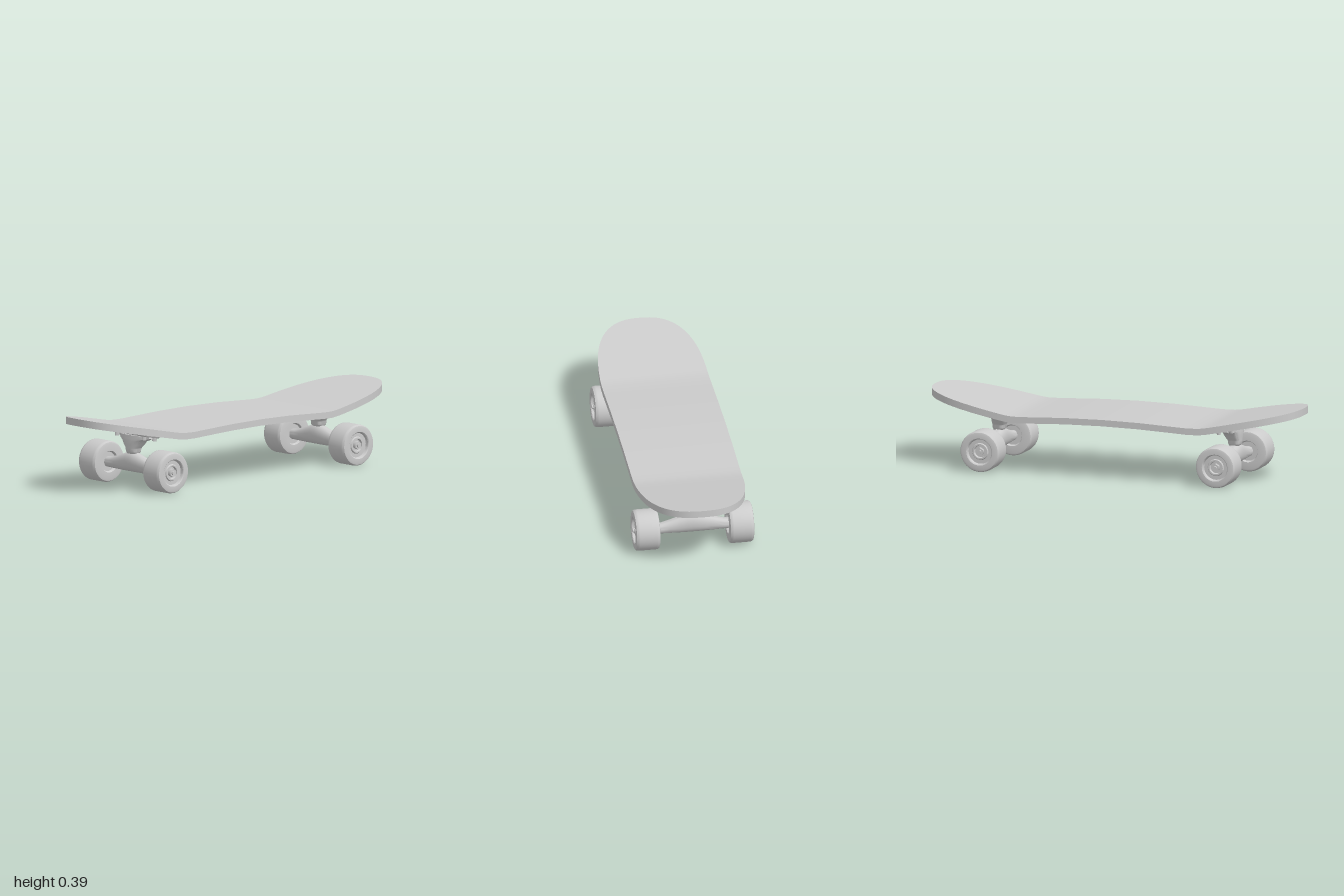
import * as THREE from 'three';
import { toCreasedNormals } from 'three/addons/utils/BufferGeometryUtils.js';

const material = new THREE.MeshStandardMaterial({ color: 0xcccccc });

function part(name, geometry, parent, x = 0, y = 0, z = 0) {
  const mesh = new THREE.Mesh(geometry, material);
  mesh.name = name;
  mesh.position.set(x, y, z);
  parent.add(mesh);
  return mesh;
}

// Skin over a row of closed rings of [x, y, z], capped at both ends
function skin(rings, crease = 0.6) {
  const n = rings[0].length, last = rings.length - 1;
  const pos = rings.flat(2), index = [];
  for (let i = 0; i < last; i++) {
    for (let j = 0; j < n; j++) {
      const a = i * n + j, b = i * n + (j + 1) % n;
      index.push(a, b, b + n, a, b + n, a + n);
    }
  }
  for (const [i, flip] of [[0, true], [last, false]]) {
    const c = pos.length / 3;
    for (let k = 0; k < 3; k++) pos.push(rings[i].reduce((s, p) => s + p[k], 0) / n);
    for (let j = 0; j < n; j++) {
      const a = i * n + j, b = i * n + (j + 1) % n;
      if (flip) index.push(c, b, a); else index.push(c, a, b);
    }
  }
  const g = new THREE.BufferGeometry();
  g.setAttribute('position', new THREE.Float32BufferAttribute(pos, 3));
  g.setIndex(index);
  return toCreasedNormals(g, crease);
}

// Superellipse point list; power 2 is round, higher is boxier
function oval(a, b, power = 2, n = 24) {
  return Array.from({ length: n }, (_, i) => {
    const t = (i + 0.5) / n * Math.PI * 2, c = Math.cos(t), s = Math.sin(t);
    return [a * Math.sign(c) * Math.abs(c) ** (2 / power), b * Math.sign(s) * Math.abs(s) ** (2 / power)];
  });
}

// Deck: nearly flat middle, kicked-up ends, rounded plan
const camber = [[-1, 0.388], [-0.75, 0.341], [-0.56, 0.303], [-0.52, 0.298], [-0.46, 0.297], [-0.2, 0.308], [0, 0.311],
  [0.2, 0.308], [0.44, 0.297], [0.5, 0.297], [0.55, 0.305], [0.75, 0.342], [1, 0.388]];

function deckTop(x) {
  const i = Math.max(1, camber.findIndex(p => p[0] >= x));
  const [x0, y0] = camber[i - 1], [x1, y1] = camber[i];
  return y0 + (y1 - y0) * (x - x0) / (x1 - x0);
}

function deckGeometry() {
  const rings = [], steps = 80;
  for (let i = 0; i <= steps; i++) {
    // stations bunch up toward the two round ends
    const x = Math.max(-1, Math.min(1, Math.sin((i / steps - 0.5) * Math.PI)));
    const t = Math.max(0, (Math.abs(x) - 0.4) / 0.6);
    const w = Math.max(0.012, 0.279 * Math.max(0, 1 - t ** 3) ** 0.4);
    const top = deckTop(x), bottom = top - 0.033 - 0.004 * t;
    rings.push([[x, top, -w], [x, top, w], [x, bottom, w], [x, bottom, -w]]);
  }
  return skin(rings);
}

// Wheel: tyre with a recessed hub on both faces, axis along z
function wheelGeometry() {
  const profile = [[0, -0.05], [0.04, -0.05], [0.05, -0.05], [0.056, -0.0625], [0.092, -0.0625], [0.1, -0.06],
    [0.105, -0.052], [0.106, -0.044], [0.106, 0.044], [0.105, 0.052], [0.1, 0.06], [0.092, 0.0625], [0.07, 0.0625],
    [0.066, 0.059], [0.063, 0.045], [0.044, 0.045], [0.04, 0.051], [0.033, 0.051], [0.03, 0.038], [0, 0.038]];
  const g = new THREE.LatheGeometry(profile.map(p => new THREE.Vector2(...p)), 40);
  return toCreasedNormals(g.rotateX(Math.PI / 2), 0.6);
}

// Truck with two wheels; local +x points to the board's end
function createTruck(name) {
  const truck = new THREE.Group();
  truck.name = name;

  // Tilted base plate with bolts and side ribs
  const base = new THREE.Group();
  base.name = 'basePlate';
  base.position.set(-0.02, 0.276, 0);
  base.rotation.z = 0.185;
  truck.add(base);
  const plate = [[-0.012, 0.054, 0.127], [-0.006, 0.06, 0.131], [0.012, 0.062, 0.136]];
  part('plate', skin(plate.map(([y, hx, hz]) => oval(hz, hx, 8, 32).map(([z, x]) => [x, y, z]))), base);
  for (const sz of [-1, 1]) {
    for (const sx of [-1, 1]) {
      part('bolt', new THREE.CylinderGeometry(0.013, 0.011, 0.02, 6), base, sx * 0.036, -0.02, sz * 0.102);
    }
    const rib = part('rib', new THREE.BoxGeometry(0.022, 0.014, 0.07), base, 0, -0.026, sz * 0.078);
    rib.rotation.x = -sz * 0.35;
  }

  // Mount narrowing down to the bushing: [y, centre x, half x, half z]
  const mount = [[0.172, 0, 0.026, 0.03], [0.182, 0, 0.033, 0.037], [0.198, 0, 0.034, 0.038], [0.204, -0.002, 0.036, 0.042],
    [0.222, -0.006, 0.041, 0.058], [0.24, -0.01, 0.045, 0.07], [0.252, -0.014, 0.048, 0.09], [0.27, -0.018, 0.05, 0.096]];
  part('mount', skin(mount.map(([y, cx, hx, hz]) => oval(hz, hx, 3).map(([z, x]) => [cx + x, y, z]))), truck);

  // Hanger swelling toward the middle: [z, bottom, top, half x]
  const half = [[0, 0.077, 0.182, 0.038], [0.03, 0.077, 0.177, 0.037], [0.07, 0.077, 0.164, 0.033],
    [0.12, 0.078, 0.148, 0.029], [0.16, 0.079, 0.136, 0.027], [0.2, 0.08, 0.132, 0.026]];
  const hanger = [...half.slice(1).reverse().map(([z, ...r]) => [-z, ...r]), ...half];
  part('hanger', skin(hanger.map(([z, lo, hi, hx]) =>
    oval(hx, (hi - lo) / 2, 2.2).map(([x, y]) => [x, (lo + hi) / 2 + y, z])), 0.9), truck);

  // Axle, wheels and nuts
  part('axle', new THREE.CylinderGeometry(0.011, 0.011, 0.616, 12).rotateX(Math.PI / 2), truck, 0, 0.106, 0);
  for (const side of [-1, 1]) {
    const wheel = part('wheel', wheelGeometry(), truck, 0, 0.106, side * 0.2425);
    if (side < 0) wheel.rotation.y = Math.PI;
    part('axleNut', new THREE.CylinderGeometry(0.021, 0.021, 0.022, 6).rotateX(Math.PI / 2), truck, 0, 0.106, side * 0.289);
  }
  return truck;
}

export function createModel() {
  const board = new THREE.Group();
  board.name = 'skateboard';
  part('deck', deckGeometry(), board);
  const leftTruck = createTruck('leftTruck');
  leftTruck.position.x = 0.653;
  const rightTruck = createTruck('rightTruck');
  rightTruck.position.x = -0.625;
  rightTruck.rotation.y = Math.PI;
  board.add(leftTruck, rightTruck);
  return board;
}
